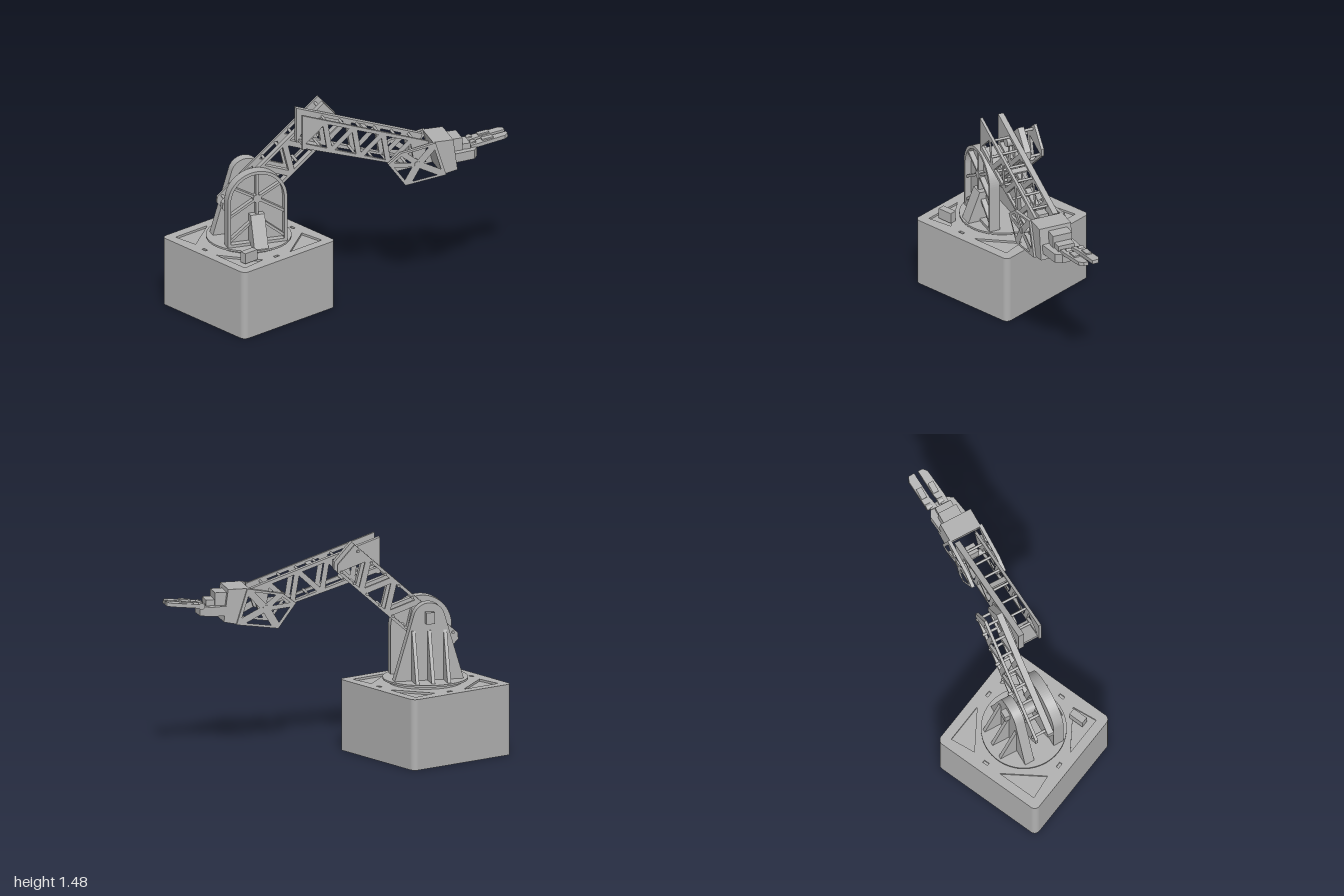
import * as THREE from 'three';

const metal = new THREE.MeshStandardMaterial({ color: 0xb0b0b0 });
metal.name = 'light grey metal';

function add(parent, name, geometry, x = 0, y = 0, z = 0) {
  const mesh = new THREE.Mesh(geometry, metal);
  mesh.name = name;
  mesh.position.set(x, y, z);
  parent.add(mesh);
  return mesh;
}
const poly = (pts) => new THREE.Shape(pts.map((p) => new THREE.Vector2(p[0], p[1])));
const extrude = (shape, depth) =>
  new THREE.ExtrudeGeometry(shape, { depth, bevelEnabled: false, curveSegments: 20 });
// Upright plate between two sideways positions
const plate = (parent, name, shape, w0, w1) =>
  add(parent, name, extrude(shape, w1 - w0), 0, 0, w0);
// Level plate drawn in plan, with its upper face at y
const slab = (parent, name, shape, y, thick) =>
  add(parent, name, extrude(shape, thick).rotateX(Math.PI / 2), 0, y, 0);
const block = (parent, name, x0, x1, y0, y1, z0, z1) =>
  add(parent, name, new THREE.BoxGeometry(x1 - x0, y1 - y0, z1 - z0),
    (x0 + x1) / 2, (y0 + y1) / 2, (z0 + z1) / 2);
// Rod running sideways
const rod = (parent, name, x, y, z0, z1, r) =>
  add(parent, name, new THREE.CylinderGeometry(r, r, z1 - z0, 14).rotateX(Math.PI / 2),
    x, y, (z0 + z1) / 2);
// Triangular cut-out shrunk about its centre
function cutTriangle(shape, tri, k) {
  const cx = (tri[0][0] + tri[1][0] + tri[2][0]) / 3;
  const cy = (tri[0][1] + tri[1][1] + tri[2][1]) / 3;
  shape.holes.push(poly(tri.map((p) => [cx + (p[0] - cx) * k, cy + (p[1] - cy) * k])));
}
// Plate lightened by a row of alternating triangles
function truss(outline, x0, x1, bottom, top, n) {
  const shape = poly(outline);
  const step = (x1 - x0) / (n + 1);
  for (let i = 0; i < n; i++) {
    const x = x0 + i * step;
    const [a, b] = i % 2 ? [top, bottom] : [bottom, top];
    cutTriangle(shape, [[x, a], [x + 2 * step, a], [x + step, b]], 0.72);
  }
  return shape;
}
function bar(parent, name, ax, ay, bx, by, thick, w0, w1) {
  const mesh = add(parent, name,
    new THREE.BoxGeometry(Math.hypot(bx - ax, by - ay), thick, w1 - w0),
    (ax + bx) / 2, (ay + by) / 2, (w0 + w1) / 2);
  mesh.rotation.z = Math.atan2(by - ay, bx - ax);
}
function roundedSquare(h, r) {
  const s = new THREE.Shape();
  [[h, h], [-h, h], [-h, -h], [h, -h]].forEach(([x, y], i) =>
    s.absarc(x - Math.sign(x) * r, y - Math.sign(y) * r, r, i * Math.PI / 2, (i + 1) * Math.PI / 2));
  return s;
}
function archShape(half, y0, yc, r, lean) {
  const s = new THREE.Shape();
  s.moveTo(-half, y0);
  s.lineTo(half, y0);
  s.absarc(0, yc, r, lean, Math.PI - lean);
  s.closePath();
  return s;
}

function buildBase(model) {
  const base = new THREE.Group();
  base.name = 'base';
  base.position.set(-0.253, 0, 0.582);
  model.add(base);
  slab(base, 'baseBox', roundedSquare(0.417, 0.04), 0.475, 0.475);
  // Top cover with a pocket and a slot on each side
  const cover = roundedSquare(0.417, 0.04);
  for (let i = 0; i < 4; i++) {
    const c = Math.round(Math.cos(i * Math.PI / 2)), s = Math.round(Math.sin(i * Math.PI / 2));
    const turn = ([x, y]) => [x * c - y * s, x * s + y * c];
    cover.holes.push(poly([[-0.35, 0.35], [-0.35, 0.06], [-0.17, 0.33]].map(turn)));
    cover.holes.push(poly([[-0.355, -0.08], [-0.335, -0.08], [-0.335, -0.04], [-0.355, -0.04]].map(turn)));
  }
  slab(base, 'baseCover', cover, 0.49, 0.015);
  block(base, 'baseMotor', 0.253, 0.303, 0.49, 0.565, 0.195, 0.305);
  add(base, 'turntableHub', new THREE.CylinderGeometry(0.25, 0.25, 0.025, 64), 0, 0.5, 0);
  add(base, 'turntableFlange', new THREE.CylinderGeometry(0.29, 0.29, 0.013, 64), 0, 0.518, 0);
}

function buildStand(arm) {
  // Ribbed arch on one side of the shoulder
  plate(arm, 'archWeb', archShape(0.212, 0.525, 0.85, 0.212, 0), 0.115, 0.145);
  const rim = archShape(0.212, 0.525, 0.85, 0.212, 0);
  rim.holes.push(archShape(0.19, 0.545, 0.85, 0.19, 0));
  plate(arm, 'archRim', rim, 0.145, 0.19);
  bar(arm, 'archRib', 0, 0.54, 0, 1.05, 0.018, 0.145, 0.18);
  for (const s of [-1, 1]) {
    bar(arm, 'archRib', 0, 0.86, s * 0.18, 0.96, 0.018, 0.145, 0.18);
    bar(arm, 'archRib', 0, 0.86, s * 0.2, 0.74, 0.018, 0.145, 0.18);
    bar(arm, 'archRib', 0, 0.72, s * 0.2, 0.56, 0.018, 0.145, 0.18);
  }
  rod(arm, 'archHub', 0, 0.86, 0.145, 0.185, 0.03);
  // Sloping brace, drawn in section and turned to face sideways
  const brace = extrude(poly([[0.145, 0.525], [0.275, 0.525], [0.19, 0.745], [0.145, 0.745]]), 0.1);
  add(arm, 'archBrace', brace.rotateY(-Math.PI / 2), 0.05, 0, 0);
  // Tapered support on the other side, with three fins
  plate(arm, 'taperedSupport', archShape(0.24, 0.525, 0.95, 0.11, 0.25), -0.12, -0.05);
  for (const u of [-0.11, 0, 0.11]) {
    const fin = extrude(poly([[-0.245, 0.525], [-0.11, 0.525], [-0.11, 0.87], [-0.125, 0.87]]), 0.024);
    add(arm, 'supportFin', fin.rotateY(-Math.PI / 2), u + 0.012, 0, 0);
  }
  block(arm, 'shoulderSensor', -0.03, 0.03, 0.92, 1.0, -0.16, -0.11);
  rod(arm, 'shoulderAxle', 0, 0.86, -0.06, 0.12, 0.04);
}

function buildUpperArm(arm) {
  const g = new THREE.Group();
  g.name = 'upperArm';
  g.position.y = 0.86;
  g.rotation.z = 0.733;
  arm.add(g);
  const outline = [[-0.22, -0.02], [-0.14, -0.1], [0.74, -0.1], [0.775, -0.06],
    [0.775, 0.12], [-0.19, 0.12], [-0.22, 0.09]];
  const shape = truss(outline, -0.2, 0.76, -0.1, 0.12, 7);
  plate(g, 'innerArmPlate', shape, -0.03, -0.01);
  plate(g, 'outerArmPlate', shape, 0.065, 0.11);
  for (let i = 0; i < 8; i++) {
    rod(g, 'armSpacer', -0.16 + i * 0.127, 0.1, -0.04, 0.07, 0.01);
    rod(g, 'armSpacer', -0.12 + i * 0.12, -0.08, -0.04, 0.07, 0.01);
  }
}

function buildForearm(arm) {
  const g = new THREE.Group();
  g.name = 'forearm';
  g.position.set(0.285, 1.478, 0);
  g.rotation.z = -0.332;
  arm.add(g);
  const outline = [[0, 0], [0.95, 0], [0.95, -0.17], [0.92, -0.2], [0.11, -0.225], [0.082, -0.239]];
  const shape = truss(outline, 0.06, 0.94, -0.21, -0.005, 7);
  plate(g, 'innerForearmPlate', shape, 0.12, 0.16);
  plate(g, 'outerForearmPlate', shape, 0.275, 0.295);
  for (let i = 0; i < 6; i++) {
    rod(g, 'forearmSpacer', 0.2 + i * 0.13, -0.02, 0.15, 0.28, 0.009);
    rod(g, 'forearmSpacer', 0.2 + i * 0.13, -0.19, 0.15, 0.28, 0.009);
  }
  block(g, 'elbowFloor', 0.09, 0.25, -0.225, -0.21, 0.155, 0.28);
  block(g, 'forearmTie', 0.48, 0.52, -0.03, -0.015, 0.155, 0.28);
  rod(arm, 'elbowAxle', 0.45, 1.35, 0.06, 0.18, 0.035);
}

function buildWrist(arm) {
  // Side plates cut away between spokes
  const pts = [[0.877, 1.06], [0.967, 1.13], [1.215, 1.175], [1.29, 0.93], [1.0, 0.89]];
  const hub = [1.085, 1.035];
  const shape = poly(pts);
  pts.forEach((p, i) => cutTriangle(shape, [hub, p, pts[(i + 1) % pts.length]], 0.6));
  for (const [w0, w1] of [[0.085, 0.11], [0.325, 0.35]]) {
    plate(arm, 'wristSidePlate', shape, w0, w1);
  }
  rod(arm, 'wristAxle', hub[0], hub[1], 0.08, 0.355, 0.022);
  block(arm, 'wristMotor', 1.06, 1.13, 1.06, 1.15, 0.17, 0.24);
  plate(arm, 'wristBlock', poly([[1.2, 1.175], [1.345, 1.175], [1.375, 0.95], [1.27, 0.928]]), 0.1, 0.335);

  // Stepped hand ahead of the wrist
  slab(arm, 'palm', poly([[1.33, 0.1], [1.46, 0.088], [1.535, 0.13], [1.54, 0.25],
    [1.51, 0.295], [1.33, 0.325]]), 1.06, 0.065);
  block(arm, 'handMotor', 1.33, 1.43, 1.05, 1.15, 0.13, 0.27);
  block(arm, 'handStep', 1.42, 1.49, 1.05, 1.1, 0.14, 0.26);
  // Two gripper fingers, tipped slightly upward
  const grip = new THREE.Group();
  grip.name = 'gripper';
  grip.position.set(1.5, 1.065, 0);
  grip.rotation.z = 0.12;
  arm.add(grip);
  const fingers = [
    [[0, 0.12], [0.05, 0.09], [0.24, 0.075], [0.275, 0.09], [0.278, 0.135], [0.08, 0.148], [0, 0.165]],
    [[0, 0.25], [0.06, 0.247], [0.25, 0.225], [0.278, 0.2], [0.278, 0.165], [0.08, 0.178], [0, 0.2]],
  ];
  for (const f of fingers) {
    slab(grip, 'finger', poly(f), 0.012, 0.026);
    const mid = (f[2][1] + f[5][1]) / 2;
    block(grip, 'fingerPad', 0.09, 0.17, 0.005, 0.022, mid - 0.02, mid + 0.02);
    rod(grip, 'fingerPivot', 0.03, 0, mid - 0.02, mid + 0.02, 0.022);
  }
}

export function createModel() {
  const model = new THREE.Group();
  model.name = 'robotArm';
  buildBase(model);
  // Everything above the turntable is swung round the vertical axis
  const arm = new THREE.Group();
  arm.name = 'arm';
  arm.position.set(-0.253, 0, 0.58);
  arm.rotation.y = THREE.MathUtils.degToRad(66);
  model.add(arm);
  buildStand(arm);
  buildUpperArm(arm);
  buildForearm(arm);
  buildWrist(arm);
  return model;
}
